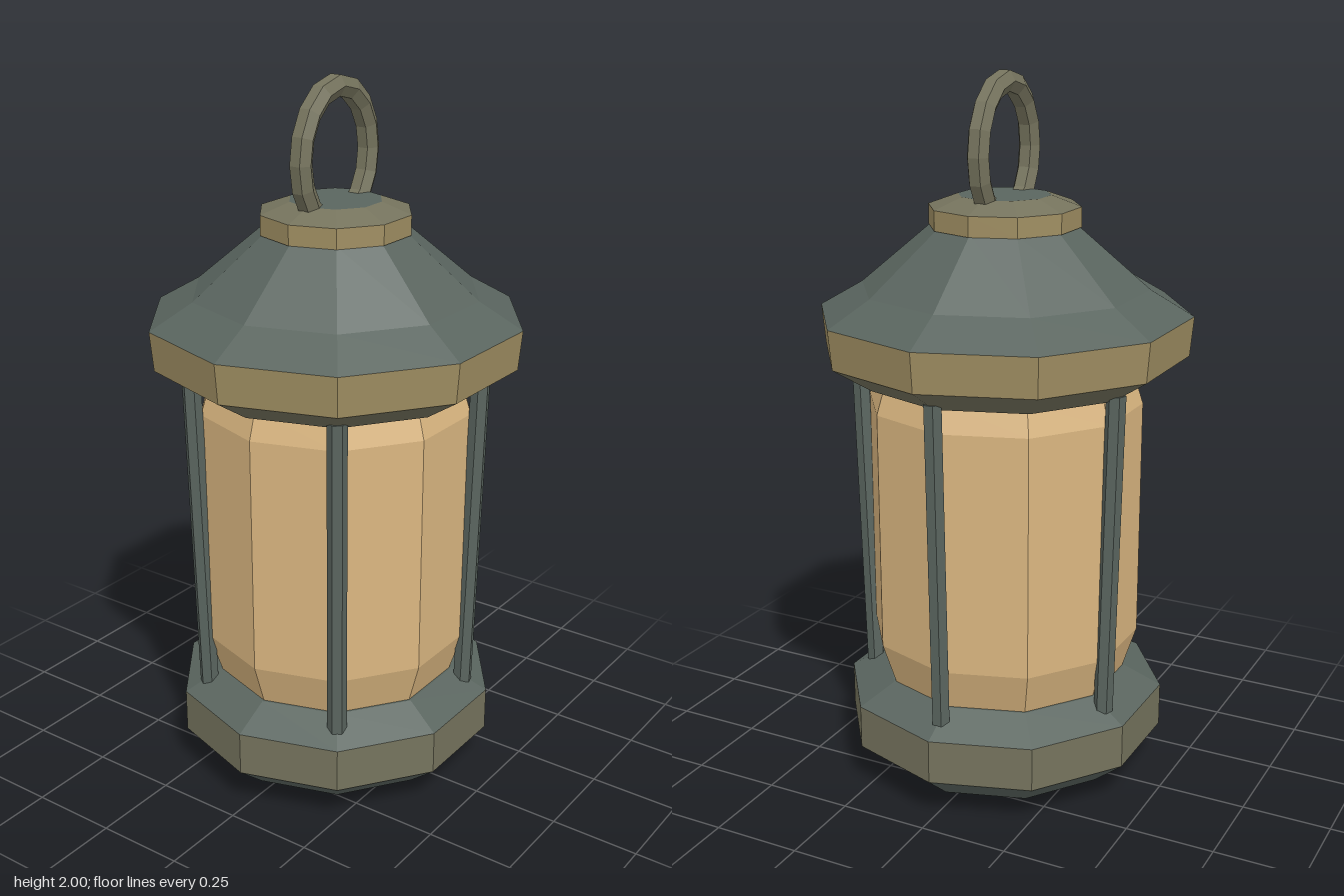
import * as THREE from 'three';

const SIDES = 10;

function material(name, color) {
  const m = new THREE.MeshStandardMaterial({ color, flatShading: true });
  m.name = name;
  return m;
}

export function createModel() {
  const lantern = new THREE.Group();
  lantern.name = 'lantern';

  const green = material('darkGreenMetal', 0x5a655f);
  const olive = material('oliveMetal', 0x75735d);
  const brass = material('brass', 0x9f8e62);
  const amber = material('amberGlass', 0xdab680);

  // Ten-sided ring of faces; profile runs bottom to top as [radius, y]
  function turned(name, mat, profile) {
    const points = profile.map(([r, y]) => new THREE.Vector2(r, y));
    const mesh = new THREE.Mesh(new THREE.LatheGeometry(points, SIDES, Math.PI / 2), mat);
    mesh.name = name;
    lantern.add(mesh);
  }

  // Base
  turned('baseUnderside', green, [[0, 0], [0.365, 0.04], [0.46, 0.12]]);
  turned('baseBand', olive, [[0.46, 0.12], [0.46, 0.245]]);
  turned('baseTop', green, [[0.46, 0.245], [0.355, 0.3], [0, 0.3]]);

  // Glass body
  turned('glass', amber, [[0.345, 0.29], [0.387, 0.42], [0.387, 1.1], [0.362, 1.18]]);

  // Roof
  turned('roofUnderside', olive, [[0, 1.17], [0.4, 1.17], [0.51, 1.24]]);
  turned('roofRim', brass, [[0.51, 1.24], [0.52, 1.35]]);
  turned('roof', green, [[0.52, 1.35], [0.4, 1.42], [0.2, 1.59]]);

  // Cap
  turned('capBand', brass, [[0.19, 1.585], [0.21, 1.585], [0.21, 1.64]]);
  turned('capSlope', olive, [[0.21, 1.64], [0.128, 1.67]]);
  turned('capTop', green, [[0.128, 1.67], [0, 1.67]]);

  // Five posts, leaning slightly outwards
  const low = 0.27, high = 1.19;
  const lean = Math.atan2(0.41 - 0.388, high - low);
  const postGeometry = new THREE.CylinderGeometry(0.027, 0.027, high - low, 6);
  for (let i = 0; i < 5; i++) {
    const pivot = new THREE.Group();
    pivot.name = 'post' + (i + 1);
    pivot.rotation.y = (i * Math.PI * 2) / 5;
    const post = new THREE.Mesh(postGeometry, green);
    post.name = 'postBar';
    post.position.set(0.399, (low + high) / 2, 0);
    post.rotation.z = -lean;
    pivot.add(post);
    lantern.add(pivot);
  }

  // Oval carrying ring
  const oval = [];
  for (let i = 0; i < 16; i++) {
    const a = (i / 16) * Math.PI * 2;
    oval.push(new THREE.Vector3(0.153 * Math.cos(a), 1.785 + 0.183 * Math.sin(a), 0));
  }
  const path = new THREE.CatmullRomCurve3(oval, true);
  const ring = new THREE.Mesh(new THREE.TubeGeometry(path, 16, 0.032, 6, true), olive);
  ring.name = 'carryingRing';
  lantern.add(ring);

  return lantern;
}
